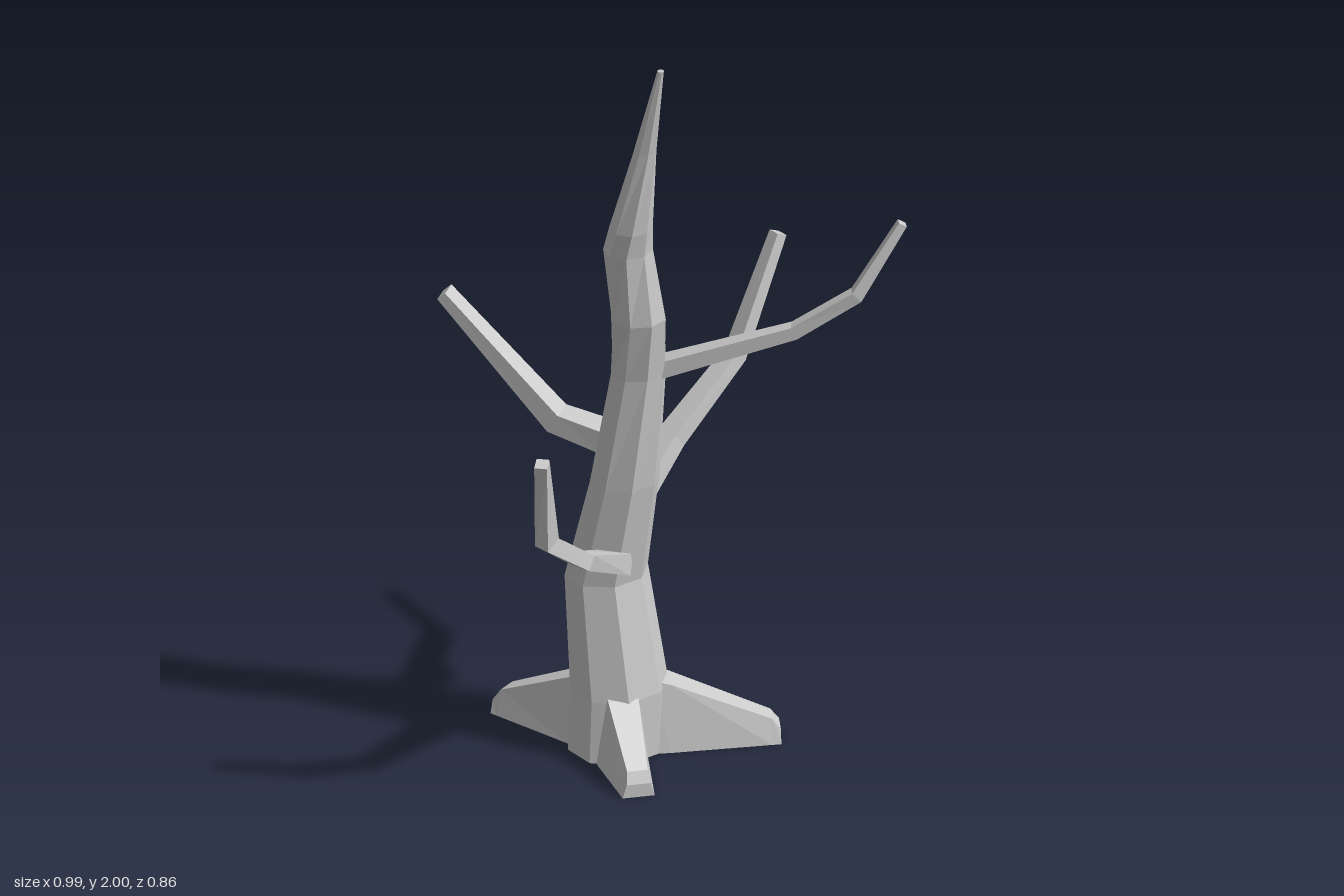
import * as THREE from 'three';

const V = (x, y, z) => new THREE.Vector3(x, y, z);
const UP = V(0, 1, 0);
const material = new THREE.MeshStandardMaterial({ color: 0xcccccc, flatShading: true });

// Skins a list of equal-sized point rings and closes both ends.
function loft(name, rings) {
  const n = rings[0].length;
  const pos = [];
  const tri = (...pts) => pts.forEach((p) => pos.push(p.x, p.y, p.z));
  for (let i = 0; i < rings.length - 1; i++) {
    for (let j = 0; j < n; j++) {
      const k = (j + 1) % n;
      const [a, b, c, d] = [rings[i][j], rings[i][k], rings[i + 1][k], rings[i + 1][j]];
      tri(a, b, c);
      tri(a, c, d);
    }
  }
  const first = rings[0], last = rings[rings.length - 1];
  for (let j = 1; j < n - 1; j++) {
    tri(first[0], first[j + 1], first[j]);
    tri(last[0], last[j], last[j + 1]);
  }
  const geometry = new THREE.BufferGeometry();
  geometry.setAttribute('position', new THREE.Float32BufferAttribute(pos, 3));
  geometry.computeVertexNormals();
  const mesh = new THREE.Mesh(geometry, material);
  mesh.name = name;
  return mesh;
}

// Crooked trunk: each row is y, centre x, centre z, radius x, radius z, twist.
function makeTrunk() {
  const rows = [
    [0, -0.04, -0.09, 0.12, 0.11, 0],
    [0.17, -0.037, -0.085, 0.12, 0.108, 0],
    [0.48, -0.057, -0.11, 0.103, 0.092, 0],
    [0.76, -0.048, -0.047, 0.086, 0.078, 0],
    [1.08, -0.045, 0.005, 0.07, 0.064, 0.1],
    [1.25, -0.068, 0.035, 0.067, 0.066, 0.25],
    [1.45, -0.105, 0.042, 0.06, 0.055, 0.5],
    [1.52, -0.11, 0.06, 0.052, 0.05, 0.6],
    [1.75, -0.103, 0.108, 0.028, 0.028, 0.8],
    [2, -0.103, 0.172, 0.008, 0.008, 0.9],
  ];
  const sides = 8;
  return loft('trunk', rows.map(([y, cx, cz, rx, rz, twist]) =>
    Array.from({ length: sides }, (_, j) => {
      const a = ((j + 0.5) / sides) * Math.PI * 2 + twist;
      return V(cx + rx * 1.05 * Math.sin(a), y, cz + rz * 1.05 * Math.cos(a));
    })));
}

// Four-sided branch: each row is x, y, z, width, thickness.
function makeBranch(name, rows) {
  const pts = rows.map(([x, y, z]) => V(x, y, z));
  const dirs = pts.slice(1).map((p, i) => p.clone().sub(pts[i]).normalize());
  return loft(name, pts.map((p, i) => {
    const before = dirs[Math.max(i - 1, 0)], after = dirs[Math.min(i, dirs.length - 1)];
    const dir = before.clone().add(after).normalize();
    const side = dir.clone().cross(UP).normalize();
    const top = dir.clone().cross(side);
    const [w, t] = [rows[i][3] / 2, rows[i][4] / 2];
    return [[1, -1], [1, 1], [-1, 1], [-1, -1]].map(([u, v]) =>
      p.clone().addScaledVector(side, u * w).addScaledVector(top, v * t));
  }));
}

// Wedge-shaped root running along the ground from (x0, z0) to (x1, z1).
function makeRoot(name, x0, z0, x1, z1) {
  const from = V(x0, 0, z0), to = V(x1, 0, z1);
  const side = UP.clone().cross(to.clone().sub(from).normalize());
  // distance along the root, half width at ground, half width on top, height
  const sections = [
    [0, 0.065, 0.04, 0.19],
    [0.15, 0.063, 0.038, 0.175],
    [0.93, 0.042, 0.026, 0.065],
    [1, 0.04, 0.03, 0.035],
  ];
  return loft(name, sections.map(([t, low, high, h]) =>
    [[low, 0], [high, h], [-high, h], [-low, 0]].map(([s, y]) =>
      from.clone().lerp(to, t).addScaledVector(side, s).setY(y))));
}

export function createModel() {
  const tree = new THREE.Group();
  tree.name = 'bareTree';
  tree.add(
    makeTrunk(),
    makeRoot('backRoot', -0.065, -0.14, -0.157, -0.41),
    makeRoot('leftRoot', 0.03, -0.045, 0.298, 0.125),
    makeRoot('frontRoot', -0.08, -0.02, -0.165, 0.165),
    makeBranch('upperFrontBranch', [
      [-0.02, 1.085, 0.03, 0.05, 0.045],
      [0.24, 1.205, 0.26, 0.036, 0.034],
      [0.355, 1.31, 0.36, 0.034, 0.032],
      [0.455, 1.5, 0.413, 0.022, 0.022],
    ]),
    makeBranch('leftBranch', [
      [0.0, 0.69, -0.075, 0.085, 0.06],
      [0.13, 0.795, -0.092, 0.06, 0.045],
      [0.335, 0.95, -0.107, 0.045, 0.04],
      [0.474, 1.24, -0.116, 0.03, 0.032],
    ]),
    makeBranch('backBranch', [
      [-0.085, 0.875, -0.06, 0.075, 0.06],
      [-0.16, 0.905, -0.175, 0.065, 0.055],
      [-0.325, 1.207, -0.412, 0.05, 0.028],
    ]),
    makeBranch('rightBranch', [
      [-0.08, 0.535, -0.04, 0.08, 0.055],
      [-0.315, 0.695, 0.143, 0.045, 0.04],
      [-0.425, 0.78, 0.137, 0.045, 0.045],
      [-0.477, 1.035, 0.185, 0.032, 0.034],
    ]),
  );
  return tree;
}
